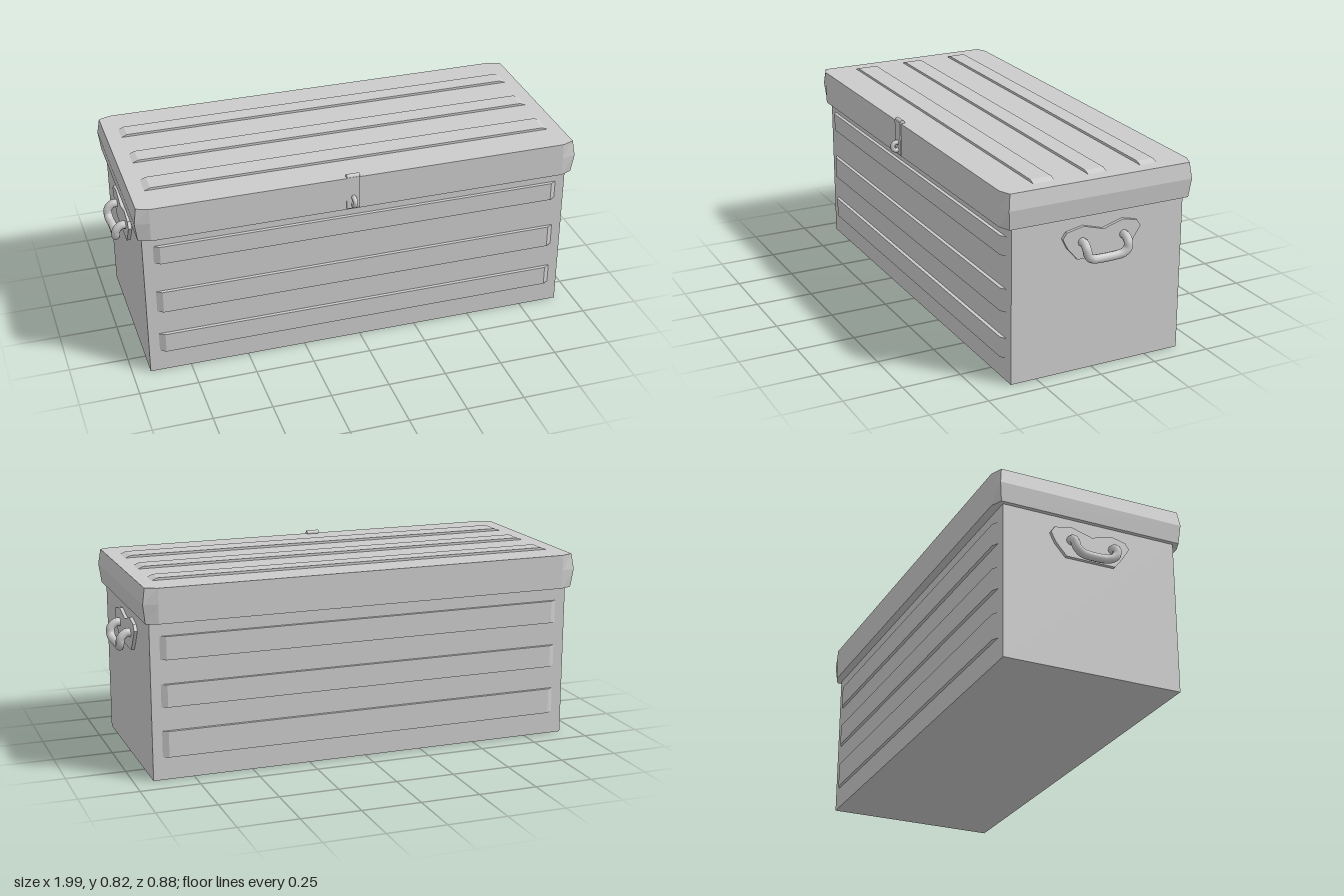
import * as THREE from 'three';

const material = new THREE.MeshStandardMaterial({ color: 0xcccccc, flatShading: true });
const smooth = new THREE.MeshStandardMaterial({ color: 0xcccccc });

function part(parent, name, geometry, x = 0, y = 0, z = 0, mat = material) {
  const mesh = new THREE.Mesh(geometry, mat);
  mesh.name = name;
  mesh.position.set(x, y, z);
  parent.add(mesh);
  return mesh;
}

// Lid: chamfered-corner outline lofted through three heights, ends bulging slightly
function lidGeometry() {
  const front = 0.4, back = -0.437, chamferX = 0.89;
  const levels = [[0.66, 0.94, 0.02], [0.74, 0.95, 0.012], [0.806, 0.94, 0.02]];
  const rings = levels.map(([y, ex, c]) => [
    [chamferX, y, front], [ex, y, front - c], [ex, y, back + c], [chamferX, y, back],
    [-chamferX, y, back], [-ex, y, back + c], [-ex, y, front - c], [-chamferX, y, front],
  ]);
  const pos = [];
  const tri = (a, b, c) => pos.push(...a, ...b, ...c);
  for (let k = 0; k < 2; k++) {
    for (let i = 0; i < 8; i++) {
      const j = (i + 1) % 8;
      tri(rings[k][i], rings[k][j], rings[k + 1][j]);
      tri(rings[k][i], rings[k + 1][j], rings[k + 1][i]);
    }
  }
  for (let i = 1; i < 7; i++) {
    tri(rings[2][0], rings[2][i], rings[2][i + 1]);
    tri(rings[0][0], rings[0][i + 1], rings[0][i]);
  }
  const geo = new THREE.BufferGeometry();
  geo.setAttribute('position', new THREE.Float32BufferAttribute(pos, 3));
  geo.computeVertexNormals();
  return geo;
}

// Raised rib with ramped ends: length along x, height along y, width along z
function ribGeometry(width, height) {
  const shape = new THREE.Shape([[-0.882, 0], [0.882, 0], [0.855, height], [-0.855, height]]
    .map(([x, y]) => new THREE.Vector2(x, y)));
  return new THREE.ExtrudeGeometry(shape, { depth: width, bevelEnabled: false });
}

// Plate and bail handle for the +x end
function makeHandle(name) {
  const group = new THREE.Group();
  group.name = name;
  const outline = [[0.147, 0.578], [0.13, 0.603], [0.055, 0.618], [-0.035, 0.592], [-0.122, 0.618],
    [-0.185, 0.603], [-0.202, 0.577], [-0.165, 0.52], [-0.135, 0.483], [0.08, 0.483], [0.125, 0.535]];
  const plate = new THREE.ExtrudeGeometry(
    new THREE.Shape(outline.map(([z, y]) => new THREE.Vector2(-z, y))),
    { depth: 0.016, bevelEnabled: false });
  plate.rotateY(Math.PI / 2);
  part(group, 'handlePlate', plate, 0.918);

  const mid = -0.031;
  const half = [[0.92, 0.552, 0.093], [0.95, 0.555, 0.093], [0.973, 0.535, 0.093],
    [0.976, 0.51, 0.088], [0.973, 0.493, 0.068], [0.969, 0.488, 0.045]];
  const points = [
    ...half.map(([x, y, z]) => new THREE.Vector3(x, y, mid + z)),
    ...half.slice().reverse().map(([x, y, z]) => new THREE.Vector3(x, y, mid - z)),
  ];
  part(group, 'handleBail', new THREE.TubeGeometry(new THREE.CatmullRomCurve3(points), 48, 0.018, 10),
    0, 0, 0, smooth);
  return group;
}

export function createModel() {
  const model = new THREE.Group();
  model.name = 'storageTrunk';

  part(model, 'body', new THREE.BoxGeometry(1.845, 0.665, 0.765), -0.002, 0.3325, -0.02);
  part(model, 'lid', lidGeometry(), -0.002);

  // Ribs on the front, back and top, as [low edge, high edge]
  for (const [lo, hi] of [[0.097, 0.183], [0.295, 0.392], [0.53, 0.61]])
    part(model, 'frontRib', ribGeometry(hi - lo, 0.017).rotateX(Math.PI / 2), 0, hi, 0.361);
  for (const [lo, hi] of [[0.097, 0.207], [0.308, 0.403], [0.505, 0.602]])
    part(model, 'backRib', ribGeometry(hi - lo, 0.015).rotateX(-Math.PI / 2), 0, lo, -0.401);
  for (const [lo, hi] of [[-0.3, -0.225], [-0.072, 0.01], [0.158, 0.25]])
    part(model, 'topRib', ribGeometry(hi - lo, 0.011), 0, 0.805, lo);

  // Carry handles, one turned to each end
  model.add(makeHandle('leftHandle'));
  const right = makeHandle('rightHandle');
  right.rotation.y = Math.PI;
  right.position.set(-0.005, 0, -0.054);
  model.add(right);

  // Hasp: strap, rolled knuckle and staple
  const hasp = new THREE.Group();
  hasp.name = 'hasp';
  hasp.position.x = -0.047;
  part(hasp, 'strap', new THREE.BoxGeometry(0.055, 0.145, 0.008), 0, 0.738, 0.401);
  part(hasp, 'knuckle', new THREE.CylinderGeometry(0.011, 0.011, 0.055, 12).rotateZ(Math.PI / 2),
    0, 0.81, 0.393, smooth);
  part(hasp, 'staple', new THREE.TorusGeometry(0.018, 0.01, 10, 20).rotateY(Math.PI / 2),
    0, 0.7, 0.412, smooth);
  model.add(hasp);

  return model;
}
